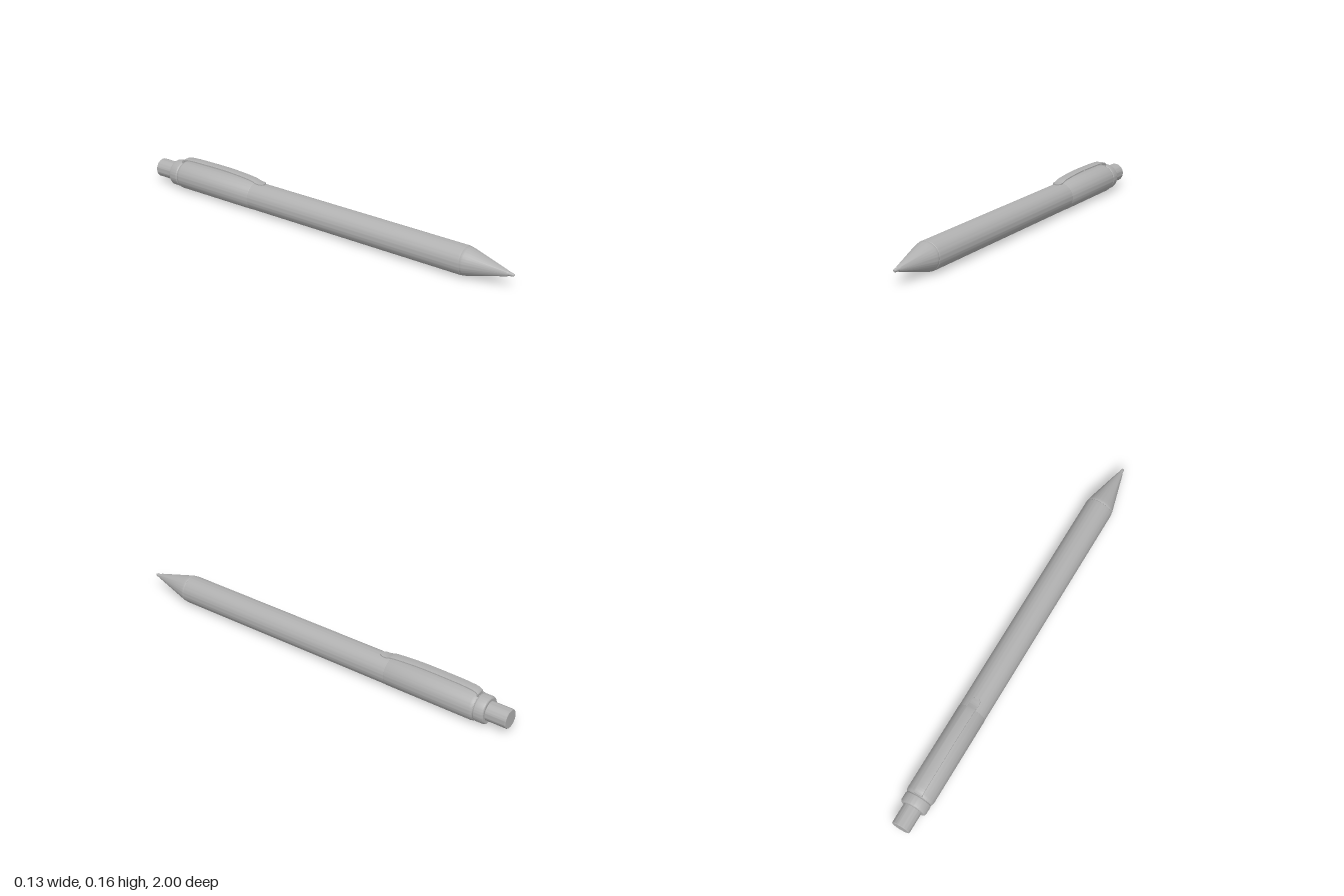
import * as THREE from 'three';
import { toCreasedNormals } from 'three/addons/utils/BufferGeometryUtils.js';

const AXIS_Y = 0.068;

export function createModel() {
  const group = new THREE.Group();
  const grey = new THREE.MeshStandardMaterial({ name: 'grey plastic', color: 0xb0b0b0 });

  const add = (name, geometry) => {
    const mesh = new THREE.Mesh(toCreasedNormals(geometry, 0.5), grey);
    mesh.name = name;
    group.add(mesh);
    return mesh;
  };

  // Turned part along z; profile is [z, radius] from back to front
  const turned = (name, profile) => {
    const points = profile.map(([z, r]) => new THREE.Vector2(r, z));
    const geometry = new THREE.LatheGeometry(points, 64).rotateX(Math.PI / 2);
    add(name, geometry).position.y = AXIS_Y;
  };

  turned('pushButton', [[-1, 0], [-1, 0.041], [-0.997, 0.044], [-0.89, 0.044]]);
  turned('collar', [[-0.9, 0], [-0.9, 0.056], [-0.897, 0.06], [-0.89, 0.063], [-0.855, 0.063], [-0.85, 0.06], [-0.84, 0.06]]);
  turned('upperBarrel', [[-0.848, 0], [-0.848, 0.061], [-0.842, 0.065], [-0.832, 0.067], [-0.4, 0.067], [-0.398, 0.066]]);
  turned('lowerBarrel', [[-0.4, 0.066], [0.76, 0.066], [0.766, 0.065], [0.768, 0.063], [0.768, 0]]);
  turned('noseCone', [[0.765, 0.063], [0.77, 0.0645], [0.78, 0.063], [0.80, 0.058], [0.965, 0.014], [0.975, 0.0105]]);
  turned('tip', [[0.97, 0.0105], [0.978, 0.009], [0.994, 0.0075], [1, 0.004], [1, 0]]);

  // Pocket clip: a thin strip swept along a side curve, rounded at its free end
  const path = new THREE.CatmullRomCurve3([
    [-0.843, 0.125], [-0.845, 0.139], [-0.833, 0.148], [-0.79, 0.154], [-0.68, 0.157],
    [-0.56, 0.157], [-0.45, 0.151], [-0.405, 0.146], [-0.38, 0.139], [-0.342, 0.138],
  ].map(([z, y]) => new THREE.Vector3(0, y, z)));
  const steps = 100, half = 0.021, thick = 0.0035;
  const positions = [], index = [];
  for (let i = 0; i <= steps; i++) {
    const p = path.getPointAt(i / steps), t = path.getTangentAt(i / steps);
    const d = Math.max(0, half - (-0.342 - p.z)) / half;
    const w = Math.max(0.004, half * Math.sqrt(Math.max(0, 1 - d * d)));
    const section = [[w, 0.6], [w * 0.85, 1], [-w * 0.85, 1], [-w, 0.6], [-w, -1], [w, -1]];
    for (const [x, s] of section) {
      positions.push(x, p.y + t.z * s * thick, p.z - t.y * s * thick);
    }
  }
  const n = 6;
  for (let i = 0; i < steps; i++) {
    for (let j = 0; j < n; j++) {
      const a = i * n + j, b = i * n + (j + 1) % n;
      index.push(a, a + n, b, b, a + n, b + n);
    }
  }
  const last = steps * n;
  for (let j = 1; j < n - 1; j++) {
    index.push(0, j, j + 1, last, last + j + 1, last + j);
  }
  // Section runs counter-clockwise seen from the front, so flip the winding outward
  for (let k = 0; k < index.length; k += 3) {
    [index[k + 1], index[k + 2]] = [index[k + 2], index[k + 1]];
  }
  const clip = new THREE.BufferGeometry();
  clip.setAttribute('position', new THREE.Float32BufferAttribute(positions, 3));
  clip.setIndex(index);
  add('pocketClip', clip);

  return group;
}
